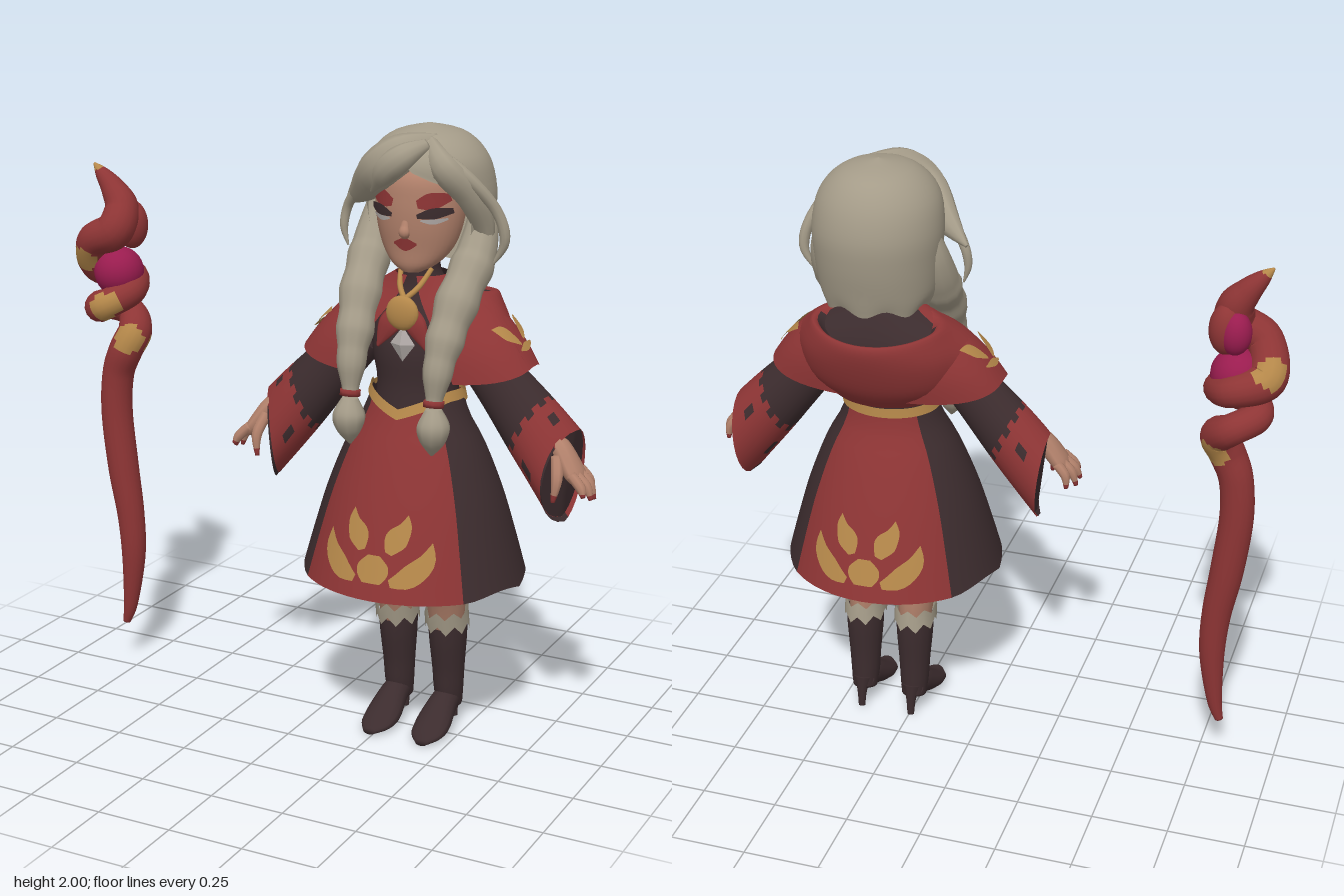
import * as THREE from 'three';
import { mergeVertices } from 'three/addons/utils/BufferGeometryUtils.js';

const mat = (name, color) => Object.assign(new THREE.MeshStandardMaterial({ color, side: THREE.DoubleSide }), { name });
const { sin, cos, abs, max, min, sign, PI, asin } = Math;
const { smoothstep, lerp } = THREE.MathUtils;

// Catmull-Rom through rows of numbers, u in 0..1
function spline(rows, u) {
  const n = rows.length - 1, s = u * n, i = min(Math.floor(s), n - 1), t = s - i;
  const at = k => rows[max(0, min(n, k))];
  return rows[0].map((_, c) => {
    const a = at(i - 1)[c], b = at(i)[c], d = at(i + 1)[c], e = at(i + 2)[c];
    return 0.5 * (2 * b + (d - a) * t + (2 * a - 5 * b + 4 * d - e) * t * t + (3 * b - a - 3 * d + e) * t * t * t);
  });
}

// Surface from f(u, v); pick chooses a material index for each cell
function grid(nu, nv, f, pick = () => 0) {
  const pos = [], buckets = [[], []];
  for (let i = 0; i <= nu; i++) for (let j = 0; j <= nv; j++) pos.push(...f(i / nu, j / nv));
  for (let i = 0; i < nu; i++) for (let j = 0; j < nv; j++) {
    const a = i * (nv + 1) + j, b = a + 1, d = a + nv + 1, c = d + 1;
    const u = (i + 0.5) / nu, v = (j + 0.5) / nv;
    buckets[pick(u, v, f(u, v), j)].push(a, b, d, b, c, d);
  }
  let g = new THREE.BufferGeometry();
  g.setAttribute('position', new THREE.Float32BufferAttribute(pos, 3));
  g.setIndex(buckets.flat());
  g.addGroup(0, buckets[0].length, 0);
  if (buckets[1].length) g.addGroup(buckets[0].length, buckets[1].length, 1);
  g = mergeVertices(g, 1e-5);
  g.computeVertexNormals();
  return g;
}

// Capped tube along points [x, y, z, ra, rb]
function sweep(points, { ref = [0, 0, 1], n = 20, sides = 10, pick } = {}) {
  const rows = points.map(p => (p.length < 5 ? [...p, p[3]] : p)), rings = [];
  let S = null;
  for (let i = 0; i <= n; i++) {
    const u = i / n, p = spline(rows, u);
    const A = spline(rows, max(0, u - 0.002)), B = spline(rows, min(1, u + 0.002));
    const T = new THREE.Vector3(B[0] - A[0], B[1] - A[1], B[2] - A[2]).normalize();
    S = S ? S.clone().addScaledVector(T, -S.dot(T)) : new THREE.Vector3(...ref).cross(T);
    S.normalize();
    rings.push({ p, S, U: T.clone().cross(S) });
  }
  const f = (u, v) => {
    const k = Math.round(u * (n + 2)) - 1, { p, S, U } = rings[max(0, min(n, k))];
    const r = k < 0 || k > n ? 0 : 1, a = cos(v * 2 * PI) * r * max(p[3], 0.001), b = sin(v * 2 * PI) * r * max(p[4], 0.001);
    return [p[0] + S.x * a + U.x * b, p[1] + S.y * a + U.y * b, p[2] + S.z * a + U.z * b];
  };
  return grid(n + 2, sides, f, pick);
}

// Body of rows [y, rx, rz, cz, roundness], rising in y; roundness below 1 is boxier
const pow = (x, e) => sign(x) * abs(x) ** e;
const ring = (r, a, off = 0) => [(r[1] + off) * pow(sin(a), r[4] ?? 1), r[0], (r[2] + off) * pow(cos(a), r[4] ?? 1) + r[3]];
const loft = (rows, nu = 20, nv = 28) => grid(nu, nv, (u, v) => ring(spline(rows, u), v * 2 * PI));
function rowAt(rows, y) {
  let lo = 0, hi = 1;
  for (let k = 0; k < 22; k++) { const m = (lo + hi) / 2; if (spline(rows, m)[0] < y) lo = m; else hi = m; }
  return spline(rows, lo);
}
// Thin painted leaf of path [x, y, halfWidth] laid on a body, facing the base angle
function leaf(rows, path, base = 0, off = 0.006) {
  return grid(12, 4, (u, v) => {
    const p = spline(path, u), A = spline(path, max(0, u - 0.01)), B = spline(path, min(1, u + 0.01));
    const dx = B[0] - A[0], dy = B[1] - A[1], l = Math.hypot(dx, dy) || 1, w = (v * 2 - 1) * max(p[2], 0);
    const x = p[0] - dy / l * w, y = p[1] + dx / l * w, r = rowAt(rows, y);
    const rad = abs(sin(base)) > 0.5 ? r[2] : r[1];
    return ring(r, base + asin(pow(max(-1, min(1, x / rad)), 1 / (r[4] ?? 1))), off);
  });
}

export function createModel() {
  const hair = mat('ash hair', 0xa49b88), red = mat('red cloth', 0x8e3535), dark = mat('dark cloth', 0x3c2c2e);
  const gold = mat('gold', 0xb5884a), skin = mat('skin', 0xb3826c), magenta = mat('magenta orb', 0x9a1c4f);
  const pale = mat('pale gem', 0xb0a9a6);
  const root = new THREE.Group(), girl = new THREE.Group();
  girl.name = 'figure';
  girl.position.x = 0.335;
  root.add(girl);
  const add = (name, geo, m, parent = girl) => {
    const mesh = new THREE.Mesh(geo, m);
    mesh.name = name;
    parent.add(mesh);
    return mesh;
  };

  // Skirt with red front and back panels and a V-shaped waist
  const skirt = [[0.56, 0.368, 0.337, 0], [0.7, 0.33, 0.295, 0], [0.85, 0.285, 0.245, 0], [1, 0.225, 0.187, 0],
    [1.1, 0.17, 0.142, 0], [1.2, 0.14, 0.12, -0.01]];
  const waist = a => 1.17 - (cos(a) > 0 ? 0.055 * max(0, 1 - abs(sin(a)) / 0.9) : 0.01);
  add('skirt', grid(14, 60, (u, v) => {
    const a = v * 2 * PI, hem = 0.56 + 0.02 * max(0, abs(sin(a)) - 0.75) * 4 * abs(sin(4 * a));
    return ring(rowAt(skirt, hem + u * (waist(a) - hem)), a);
  }, (u, v) => (abs(cos(v * 2 * PI)) > 0.67 ? 0 : 1)), [red, dark]);
  add('belt', grid(2, 60, (u, v) => {
    const a = v * 2 * PI;
    return ring(rowAt(skirt, waist(a) + (u - 0.5) * 0.032), a, 0.008);
  }), gold);
  // Crest on both panels, showing on the outside and the inside
  for (const base of [0, PI]) for (const off of [0.006, -0.006]) {
    add('skirtCrestCentre', leaf(skirt, [[0, 0.615, 0.03], [0, 0.64, 0.05], [0, 0.67, 0.05], [0, 0.7, 0.02]], base, off), gold);
    for (const s of [-1, 1]) {
      add('skirtCrestUpperLeaf', leaf(skirt, [[s * 0.045, 0.71, 0.012], [s * 0.062, 0.75, 0.036], [s * 0.085, 0.79, 0.022], [s * 0.09, 0.83, 0]], base, off), gold);
      add('skirtCrestSideLeaf', leaf(skirt, [[s * 0.06, 0.622, 0.012], [s * 0.115, 0.645, 0.034], [s * 0.158, 0.69, 0.028], [s * 0.17, 0.75, 0]], base, off), gold);
    }
  }

  // Bodice and high collar
  add('bodice', loft([[1.12, 0.138, 0.115, -0.005], [1.2, 0.134, 0.112, -0.01], [1.3, 0.155, 0.12, -0.015],
    [1.4, 0.16, 0.11, -0.03], [1.48, 0.1, 0.08, -0.04], [1.54, 0.062, 0.062, -0.03], [1.58, 0.058, 0.058, -0.025]]), dark);

  // Capelet open at the front, dark where it lines the hood
  const cape = [[1.285, 0.39, 0.165, -0.02, 0.72], [1.36, 0.335, 0.165, -0.03, 0.75], [1.44, 0.255, 0.145, -0.04, 0.85],
    [1.5, 0.15, 0.11, -0.04, 1], [1.54, 0.085, 0.08, -0.03, 1]];
  const capePoint = (u, a) => {
    const p = ring(spline(cape, u), a);
    p[1] -= 0.055 * abs(cos(a)) * (1 - u);
    return p;
  };
  add('capelet', grid(12, 48, (u, v) => {
    const gap = 0.36 - 0.17 * u;
    return capePoint(u, gap + v * (2 * PI - 2 * gap));
  }, (u, v) => (u > 0.4 && abs(v - 0.5) < 0.2 ? 1 : 0)), [red, dark]);
  // Lowered hood draped at the back, melting into the capelet at the sides
  const hood = [[1.2, 0.17, 0.13, -0.05], [1.27, 0.26, 0.185, -0.05], [1.36, 0.28, 0.222, -0.05], [1.43, 0.25, 0.237, -0.05],
    [1.455, 0.225, 0.222, -0.05], [1.4, 0.18, 0.18, -0.05], [1.36, 0.1, 0.1, -0.05]];
  add('hood', grid(24, 36, (u, v) => {
    const a = PI * (0.45 + 1.1 * v), p = ring(spline(hood, u), a), b = max(0, -cos(a));
    p[1] += 0.06 * (1 - b) * u;
    const q = capePoint(u, a), e = smoothstep(abs(v - 0.5), 0.3, 0.5);
    return p.map((c, k) => lerp(c, q[k], e));
  }, (u, v) => (u > 0.7 && abs(v - 0.5) < 0.36 ? 1 : 0)), [red, dark]);
  for (const b of [PI / 2, -PI / 2]) {
    const s = sign(b);
    add('capeLeafFront', leaf(cape, [[-s * 0.09, 1.4, 0], [-s * 0.06, 1.385, 0.02], [-s * 0.02, 1.35, 0.004]], b), gold);
    add('capeLeafBack', leaf(cape, [[s * 0.08, 1.41, 0], [s * 0.045, 1.395, 0.02], [s * 0.01, 1.36, 0.004]], b), gold);
    add('capeLeafLow', leaf(cape, [[-s * 0.04, 1.335, 0.002], [0, 1.34, 0.011], [s * 0.05, 1.345, 0.002]], b), gold);
  }

  // Pendant, chain, gem
  const disc = add('pendant', new THREE.SphereGeometry(0.055, 20, 12), gold);
  disc.position.set(0, 1.435, 0.115);
  disc.scale.z = 0.4;
  const gem = add('chestGem', new THREE.OctahedronGeometry(1), pale);
  gem.position.set(0, 1.335, 0.11);
  gem.scale.set(0.042, 0.056, 0.02);

  // Head and face
  const head = [[1.555, 0.03, 0.025, 0.05], [1.58, 0.075, 0.06, 0.028], [1.63, 0.115, 0.092, 0.002], [1.7, 0.138, 0.115, -0.01],
    [1.78, 0.145, 0.12, -0.012], [1.86, 0.135, 0.115, -0.02], [1.93, 0.06, 0.06, -0.04]];
  add('head', loft(head, 24, 32), skin);
  add('nose', sweep([[0, 1.73, 0.1, 0.008, 0.004], [0, 1.705, 0.104, 0.014, 0.01], [0, 1.685, 0.108, 0.018, 0.015], [0, 1.67, 0.098, 0.012, 0.01]]), skin);
  add('lips', leaf(head, [[-0.036, 1.65, 0.003], [0, 1.648, 0.021], [0.036, 1.65, 0.003]]), red);

  // Hair shell with an opening for the face
  const cap = [[1.55, 0.165, 0.135, -0.112], [1.6, 0.187, 0.16, -0.1], [1.7, 0.2, 0.185, -0.095], [1.8, 0.207, 0.2, -0.085],
    [1.9, 0.185, 0.185, -0.07], [1.97, 0.115, 0.12, -0.07], [2, 0.002, 0.002, -0.07]];
  add('hairShell', grid(26, 44, (u, v) => {
    const r = spline(cap, u), gap = 1.05 * (1 - smoothstep(r[0], 1.78, 1.9));
    const a = gap + v * (2 * PI - 2 * gap), p = ring(r, a);
    p[1] += 0.012 * cos(7 * a) * max(0, 1 - u * 5);
    return p;
  }), hair);
  const lock = (name, pts) => add(name, sweep(pts, { n: 24 }), hair);
  lock('fringeRight', [[0.06, 1.96, 0, 0.02, 0.02], [-0.02, 1.925, 0.08, 0.06, 0.045], [-0.1, 1.865, 0.09, 0.065, 0.045],
    [-0.19, 1.79, 0.01, 0.045, 0.035], [-0.275, 1.735, -0.05, 0.006, 0.006]]);
  lock('fringeTuft', [[0.05, 1.95, 0.06, 0.02, 0.02], [0, 1.92, 0.12, 0.04, 0.034], [-0.06, 1.87, 0.125, 0.04, 0.03], [-0.12, 1.8, 0.09, 0.006, 0.006]]);
  lock('fringeLeft', [[0.04, 1.96, 0.02, 0.02, 0.02], [0.11, 1.89, 0.075, 0.045, 0.035], [0.175, 1.8, 0.02, 0.045, 0.035],
    [0.2, 1.7, -0.04, 0.035, 0.03], [0.21, 1.6, -0.06, 0.006, 0.006]]);
  lock('looseStrandLeft', [[0.06, 1.95, 0.05, 0.012], [0.17, 1.87, 0.05, 0.02], [0.25, 1.76, -0.01, 0.018], [0.275, 1.66, -0.03, 0.016], [0.235, 1.58, -0.03, 0.003]]);
  lock('looseStrandRight', [[-0.2, 1.8, 0.01, 0.02], [-0.255, 1.73, -0.02, 0.016], [-0.27, 1.66, -0.02, 0.013], [-0.255, 1.6, -0.02, 0.003]]);

  // Mirrored parts: s = 1 is the figure's left
  for (const s of [1, -1]) {
    const side = s > 0 ? 'left' : 'right';
    const put = (name, pts, m, o) => add(side + name, sweep(pts.map(([x, ...r]) => [x * s, ...r]), o), m);
    const paint = (name, pts, m, off) => add(side + name, leaf(head, pts.map(([x, ...r]) => [x * s, ...r]), 0, off), m);

    put('Chain', [[0.052, 1.56, 0.015, 0.008], [0.032, 1.51, 0.065, 0.009], [0, 1.475, 0.1, 0.009]], gold);
    put('Lapel', [[0.02, 1.43, 0.1, 0.03, 0.012], [0.05, 1.39, 0.11, 0.035, 0.012], [0.085, 1.32, 0.112, 0.004]], red);
    paint('EyeShadow', [[0.04, 1.775, 0.012], [0.08, 1.785, 0.026], [0.125, 1.797, 0.012]], red, 0.004);
    paint('LowerLid', [[0.05, 1.726, 0.003], [0.085, 1.722, 0.008], [0.12, 1.73, 0.003]], pale, 0.004);
    paint('Eye', [[0.04, 1.738, 0.006], [0.085, 1.748, 0.017], [0.13, 1.755, 0.008]], dark, 0.007);

    // Braid with bumps, tie and tuft
    const braid = [[0.165, 1.8, -0.1, 0.03], [0.178, 1.7, -0.08, 0.05], [0.178, 1.6, -0.03, 0.064], [0.167, 1.5, 0.055, 0.067],
      [0.155, 1.39, 0.122, 0.06], [0.148, 1.29, 0.165, 0.048], [0.143, 1.18, 0.185, 0.026]];
    const bumpy = Array.from({ length: 25 }, (_, i) => {
      const p = spline(braid, i / 24), k = i > 8 ? 1 + 0.06 * sin(i * PI / 2) : 1;
      return [...p.slice(0, 3), p[3] * k];
    });
    put('Braid', bumpy, hair, { n: 60, sides: 12 });
    put('BraidTie', [[0.143, 1.19, 0.184, 0.033], [0.143, 1.17, 0.187, 0.033]], red, { n: 2 });
    put('BraidTuft', [[0.143, 1.165, 0.187, 0.025], [0.145, 1.11, 0.19, 0.052], [0.143, 1.06, 0.19, 0.04], [0.14, 1.015, 0.19, 0.004]], hair);

    // Bell sleeve: rows hold upper edge, lower edge and depth; the cuff opens forwards
    const sleeve = [[0.21, 1.4, 0.13, 1.27, 0.06], [0.345, 1.285, 0.225, 1.155, 0.074], [0.455, 1.185, 0.36, 0.98, 0.098], [0.54, 1.1, 0.51, 0.8, 0.115]];
    const cut = (u, v, k = 1) => {
      const r = spline(sleeve, u), c = cos(v * 2 * PI) * k / 2, d = sin(v * 2 * PI) * k;
      return [s * ((r[0] + r[2]) / 2 + (r[0] - r[2]) * c - 0.05 * u * u * max(0, d)), (r[1] + r[3]) / 2 + (r[1] - r[3]) * c, r[4] * d - 0.005];
    };
    const lace = (u, j) => (u > 0.64 + 0.04 * (j % 2) && !(u > 0.76 && u < 0.83 && j % 6 === 1) && !(u > 0.95 && j > 2 && j < 13) ? 1 : 0);
    add(side + 'Sleeve', grid(24, 24, (u, v) => cut(u, v), (u, v, p, j) => lace(u, j)), [dark, red]);
    add(side + 'SleeveLining', grid(2, 24, (u, v) => cut(0.96, v, 0.99 * (1 - u))), dark);

    // Hand with painted nails
    const nails = { n: 10, sides: 8, pick: u => (u > 0.74 ? 1 : 0) };
    put('Palm', [[0.46, 1.09, 0.02, 0.028, 0.032], [0.51, 1.045, 0.04, 0.032, 0.04], [0.555, 0.985, 0.05, 0.028, 0.052], [0.575, 0.962, 0.052, 0.02, 0.048]], skin);
    [[0.008, -0.005, 0.595, 0.908], [0.036, 0.035, 0.618, 0.902], [0.064, 0.075, 0.622, 0.91], [0.088, 0.108, 0.608, 0.925]].forEach(([z0, z1, x, y]) =>
      put('Finger', [[0.56, 0.985, z0, 0.017], [(0.56 + x) / 2 + 0.012, 0.95, (z0 + z1) / 2, 0.016], [x, y, z1, 0.007]], [skin, red], nails));
    put('Thumb', [[0.505, 1.03, 0.07, 0.019], [0.522, 0.97, 0.108, 0.018], [0.515, 0.9, 0.12, 0.007]], [skin, red], nails);

    // Leg, fur trim and heeled boot
    put('Leg', [[0.088, 0.34, -0.072, 0.052, 0.06], [0.09, 0.45, -0.055, 0.062, 0.08], [0.09, 0.57, -0.027, 0.07, 0.094],
      [0.09, 0.75, 0, 0.075, 0.092], [0.085, 0.95, 0, 0.07, 0.085]], skin, { sides: 14 });
    add(side + 'BootTrim', grid(2, 16, (u, v) => {
      const a = v * 2 * PI, top = 0.41 + 0.012 * cos(8 * a), low = 0.355 + 0.015 * cos(8 * a);
      return [s * 0.09 + 0.071 * sin(a), lerp(low, top, u), -0.073 + 0.01 * u + 0.083 * cos(a)];
    }), hair);
    put('BootShaft', [[0.09, 0.065, -0.1, 0.042, 0.045], [0.09, 0.12, -0.09, 0.048, 0.053], [0.09, 0.2, -0.085, 0.053, 0.057],
      [0.09, 0.3, -0.078, 0.061, 0.067], [0.09, 0.37, -0.074, 0.064, 0.07]], dark, { sides: 14 });
    put('BootFoot', [[0.09, 0.1, -0.12, 0.04, 0.035], [0.09, 0.08, -0.05, 0.047, 0.045], [0.09, 0.038, 0.03, 0.06, 0.036],
      [0.092, 0.02, 0.09, 0.052, 0.019], [0.095, 0.012, 0.138, 0.02, 0.011]], dark, { ref: [0, 1, 0], sides: 14 });
    put('BootHeel', [[0.09, 0.11, -0.12, 0.034, 0.028], [0.09, 0.06, -0.133, 0.018, 0.016], [0.09, 0, -0.14, 0.012, 0.011]], dark);
  }

  // Staff: curved shaft that coils around an orb and ends in a wide horn
  const staff = new THREE.Group();
  staff.name = 'staff';
  root.add(staff);
  const spots = [[-0.75, 1.2, -0.01], [-0.75, 1.17, -0.1], [-0.79, 1.315, 0.07], [-0.9, 1.475, 0.02], [-0.92, 1.47, -0.1], [-0.91, 1.8, -0.05]];
  add('staffShaft', sweep([[-0.815, 0.14, -0.045, 0.014], [-0.795, 0.22, -0.045, 0.026], [-0.778, 0.4, -0.045, 0.042],
    [-0.785, 0.55, -0.045, 0.048], [-0.81, 0.72, -0.045, 0.054], [-0.83, 0.92, -0.045, 0.055], [-0.82, 1.06, -0.045, 0.055],
    [-0.785, 1.15, -0.045, 0.058], [-0.762, 1.215, -0.07, 0.058], [-0.81, 1.265, -0.115, 0.05], [-0.875, 1.295, -0.06, 0.05],
    [-0.83, 1.31, 0.03, 0.052], [-0.75, 1.36, -0.03, 0.05], [-0.8, 1.395, -0.12, 0.05], [-0.897, 1.43, -0.07, 0.064],
    [-0.873, 1.525, 0, 0.058], [-0.79, 1.57, 0, 0.064], [-0.785, 1.64, -0.04, 0.058], [-0.822, 1.7, -0.05, 0.042],
    [-0.865, 1.75, -0.05, 0.024], [-0.895, 1.782, -0.05, 0.004]],
  { n: 180, sides: 16, pick: (u, v, p) => (spots.some(q => Math.hypot(p[0] - q[0], p[1] - q[1], p[2] - q[2]) < 0.052) ? 1 : 0) }), [red, gold], staff);
  const orb = (name, m, r, x, y, z, tall) => {
    const mesh = add(name, new THREE.SphereGeometry(r, 24, 16), m, staff);
    mesh.position.set(x, y, z);
    mesh.scale.y = tall;
  };
  orb('staffOrb', magenta, 0.085, -0.805, 1.42, -0.045, 1);
  orb('hornBack', red, 0.055, -0.768, 1.58, -0.075, 1.5);
  orb('hornLining', magenta, 0.05, -0.798, 1.575, -0.088, 1.4);
  return root;
}
